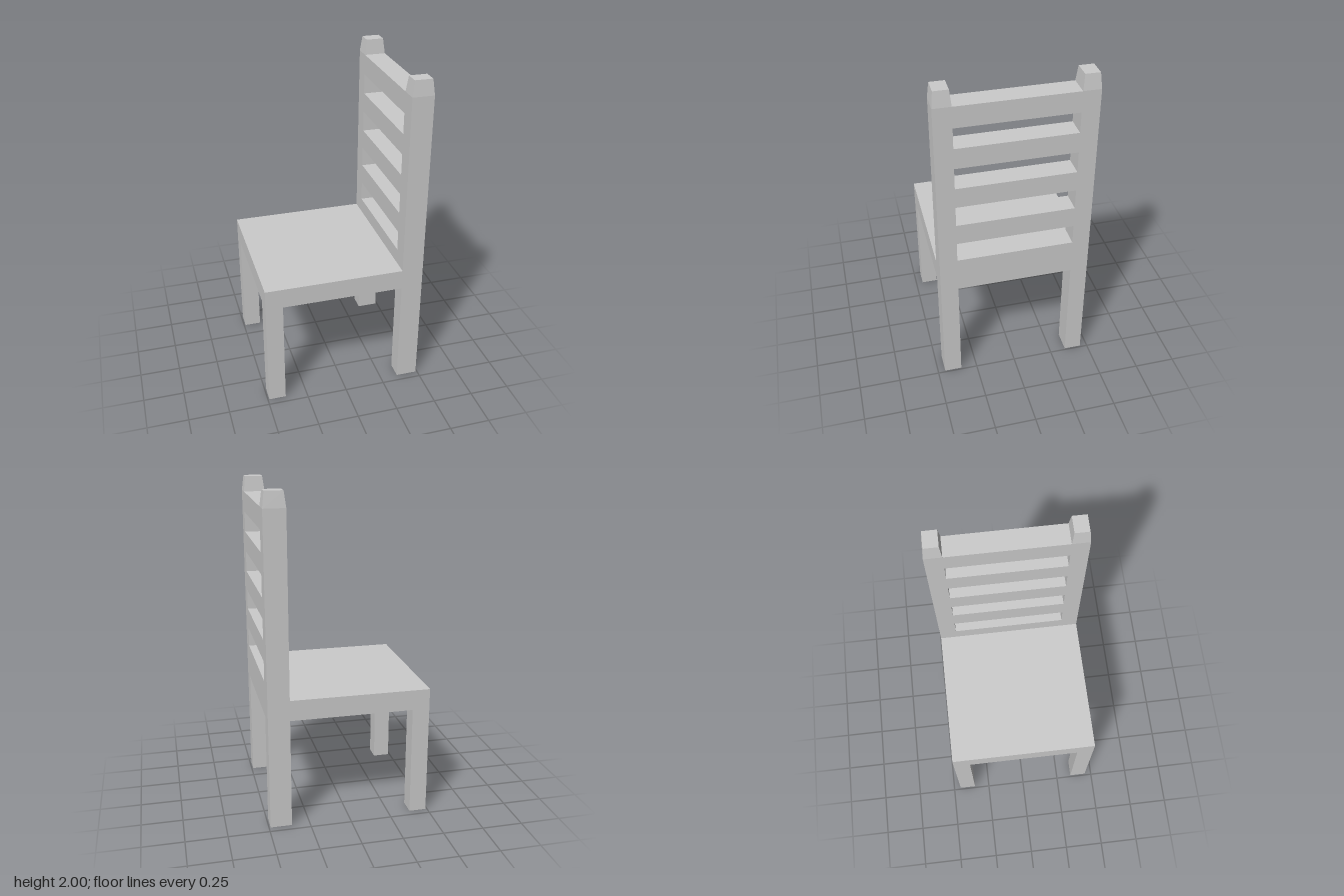
import * as THREE from 'three';

const W = 0.455;   // half width of the chair
const IN = 0.35;   // inner face of posts and legs
const FRONT = -0.49, BACK0 = 0.36, BACK = 0.49;
const SEAT_LOW = 0.68, SEAT_TOP = 0.805, RAIL_TOP = 1.907;

export function createModel() {
  const group = new THREE.Group();
  const material = new THREE.MeshStandardMaterial({ color: 0xcccccc, flatShading: true });

  const add = (name, geometry) => {
    const mesh = new THREE.Mesh(geometry, material);
    mesh.name = name;
    group.add(mesh);
    return mesh;
  };
  // Box given by its two opposite corners
  const box = (x0, x1, y0, y1, z0, z1) =>
    new THREE.BoxGeometry(x1 - x0, y1 - y0, z1 - z0)
      .translate((x0 + x1) / 2, (y0 + y1) / 2, (z0 + z1) / 2);

  // Back frame: rear legs, posts and ladder slats in one piece
  const outline = [
    [-W, 0], [-IN, 0], [-IN, SEAT_LOW], [IN, SEAT_LOW],
    [IN, 0], [W, 0], [W, RAIL_TOP], [-W, RAIL_TOP],
  ].map(([x, y]) => new THREE.Vector2(x, y));
  const frame = new THREE.Shape(outline);
  for (const [low, high] of [[0.897, 1.02], [1.15, 1.275], [1.4, 1.53], [1.655, 1.78]]) {
    frame.holes.push(new THREE.Path([
      new THREE.Vector2(-IN, low), new THREE.Vector2(-IN, high),
      new THREE.Vector2(IN, high), new THREE.Vector2(IN, low),
    ]));
  }
  add('backFrame', new THREE.ExtrudeGeometry(frame, { depth: BACK - BACK0, bevelEnabled: false })
    .rotateY(Math.PI / 2).translate(BACK0, 0, 0));

  // Seat slab
  add('seat', box(FRONT, BACK0, SEAT_LOW, SEAT_TOP, -W, W));

  for (const side of [1, -1]) {
    const label = side > 0 ? 'Left' : 'Right';
    const z0 = side > 0 ? IN : -W, z1 = side > 0 ? W : -IN;

    // Front leg
    add('frontLeg' + label, box(FRONT, -0.385, 0, SEAT_LOW, z0, z1));

    // Tapered cap on the post
    const cap = box(BACK0, BACK, RAIL_TOP, 2, z0, z1);
    const p = cap.attributes.position;
    const cx = (BACK0 + BACK) / 2, cz = (z0 + z1) / 2;
    for (let i = 0; i < p.count; i++) {
      if (p.getY(i) < 1.99) continue;
      p.setX(i, cx + (p.getX(i) - cx) * 0.82);
      p.setZ(i, cz + (p.getZ(i) - cz) * 0.82);
    }
    cap.computeVertexNormals();
    add('postCap' + label, cap);
  }
  return group;
}
